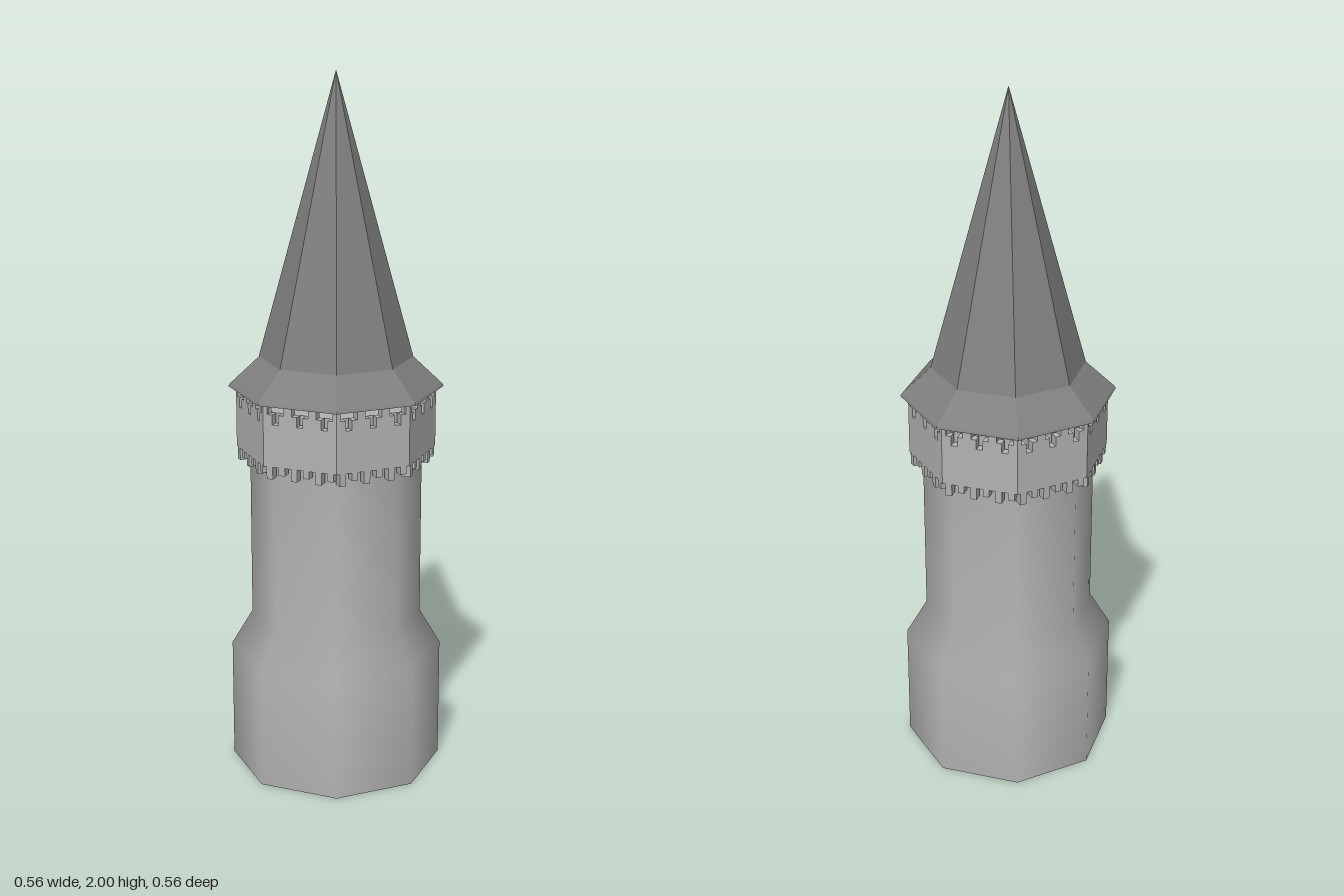
import * as THREE from 'three';

const SIDES = 8;
const STEP = Math.PI * 2 / SIDES;
const HALF = STEP / 2;

// Eight-sided turned form; profile is [distance to flat side, height] from bottom to top
function octagon(profile, faceted) {
  const pts = profile.map(([a, y]) => new THREE.Vector2(a / Math.cos(HALF), y));
  let geo = new THREE.LatheGeometry(pts, SIDES, HALF);
  if (faceted) {
    geo = geo.toNonIndexed();
    geo.computeVertexNormals();
  }
  return geo;
}

// One wall of the gallery: corbel teeth below, T-shaped embrasures above
function galleryPanelShape(width, bottom, top) {
  const w = width / 2;
  const s = new THREE.Shape();
  s.moveTo(-w, bottom);
  const teeth = 6;
  for (let i = 0; i < teeth; i++) {
    const x = -w + (i + 0.5) * width / teeth;
    const low = bottom - (i % 2 ? 0.022 : 0.035);
    s.lineTo(x - 0.009, bottom);
    s.lineTo(x - 0.009, low);
    s.lineTo(x + 0.009, low);
    s.lineTo(x + 0.009, bottom);
  }
  s.lineTo(w, bottom);
  s.lineTo(w, top);
  const notches = 3;
  for (let i = notches - 1; i >= 0; i--) {
    const x = -w + (i + 0.5) * width / notches;
    s.lineTo(x + 0.024, top);
    s.lineTo(x + 0.024, top - 0.027);
    s.lineTo(x + 0.009, top - 0.027);
    s.lineTo(x + 0.009, top - 0.055);
    s.lineTo(x - 0.009, top - 0.055);
    s.lineTo(x - 0.009, top - 0.027);
    s.lineTo(x - 0.024, top - 0.027);
    s.lineTo(x - 0.024, top);
  }
  s.lineTo(-w, top);
  s.closePath();
  return s;
}

export function createModel() {
  const stone = new THREE.MeshStandardMaterial({ color: 0xb2b2b2 });
  stone.name = 'pale stone';
  const slate = new THREE.MeshStandardMaterial({ color: 0x808080 });
  slate.name = 'grey slate';

  const tower = new THREE.Group();
  tower.name = 'tower';
  const add = (name, geo, mat, parent = tower) => {
    const mesh = new THREE.Mesh(geo, mat);
    mesh.name = name;
    parent.add(mesh);
    return mesh;
  };

  // Wide base flowing softly into the shaft
  add('towerWall', octagon([[0.28, 0], [0.28, 0.35], [0.225, 0.45], [0.225, 0.94]]), stone);
  const floor = new THREE.CircleGeometry(0.28 / Math.cos(HALF), SIDES, HALF);
  floor.rotateX(Math.PI / 2);
  add('baseUnderside', floor, stone);

  // Core of the gallery and its floor
  add('galleryCore', octagon([[0.225, 0.94], [0.225, 1.095], [0, 1.095]], true), stone);
  add('galleryFloor', octagon([[0.22, 0.95], [0.257, 0.95], [0.257, 0.965], [0.22, 0.965]], true), stone);

  // Ring of eight battlement panels
  const gallery = new THREE.Group();
  gallery.name = 'gallery';
  tower.add(gallery);
  const thickness = 0.025;
  const width = 2 * 0.26 * Math.tan(HALF);
  const panel = new THREE.ExtrudeGeometry(galleryPanelShape(width, 0.95, 1.125), {
    depth: thickness, bevelEnabled: false,
  });
  panel.translate(0, 0, 0.26 - thickness);
  for (let i = 0; i < SIDES; i++) {
    add('galleryPanel', panel, stone, gallery).rotation.y = i * STEP;
  }

  // Spire with flared eaves and a closed underside
  add('roof', octagon([[0, 1.125], [0.28, 1.125], [0.276, 1.132], [0.2, 1.21], [0, 2]], true), slate);

  return tower;
}
